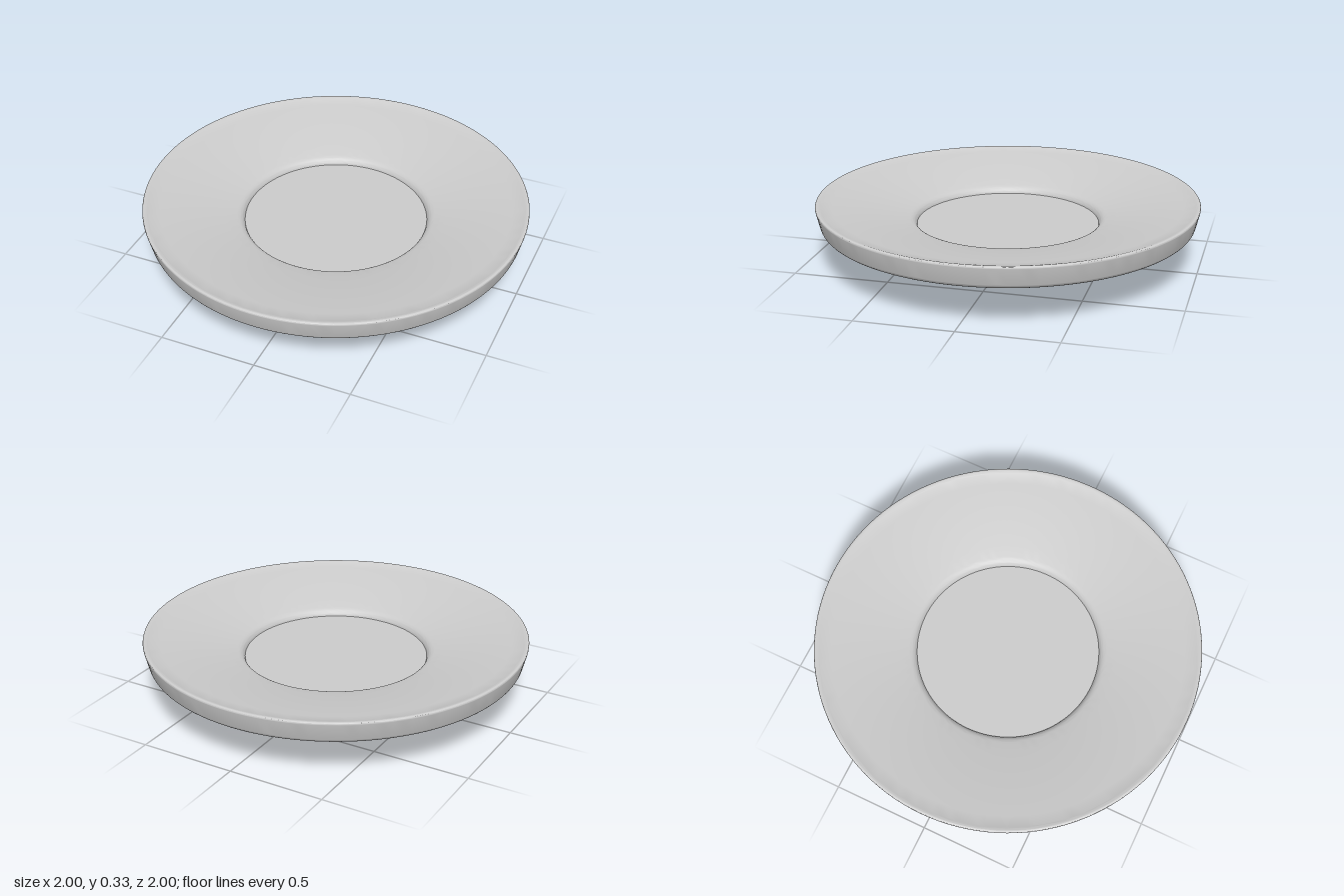
import * as THREE from 'three';
import { toCreasedNormals } from 'three/addons/utils/BufferGeometryUtils.js';

const SEGMENTS = 128;

// Samples a path without duplicate points and revolves it around y.
function revolve(name, path, material) {
  const points = path.getPoints(8).filter((p, i, a) => i === 0 || p.distanceTo(a[i - 1]) > 1e-5);
  const geometry = toCreasedNormals(new THREE.LatheGeometry(points, SEGMENTS), Math.PI / 6);
  const mesh = new THREE.Mesh(geometry, material);
  mesh.name = name;
  return mesh;
}

export function createModel() {
  const group = new THREE.Group();
  group.name = 'saucer';
  const material = new THREE.MeshStandardMaterial({ color: 0xcccccc, side: THREE.DoubleSide });

  // Hollow foot ring: recess ceiling, inner wall, rounded bottom, flared outer wall
  const foot = new THREE.Path();
  foot.moveTo(0, 0.12);
  foot.lineTo(0.355, 0.12);
  foot.lineTo(0.36, 0);
  foot.lineTo(0.415, 0);
  foot.quadraticCurveTo(0.435, 0, 0.439, 0.022);
  foot.lineTo(0.455, 0.112);
  group.add(revolve('footRing', foot, material));

  // Sloping underside, rounded shoulder and flared rim band
  const outside = new THREE.Path();
  outside.moveTo(0.455, 0.112);
  outside.lineTo(0.945, 0.207);
  outside.quadraticCurveTo(0.974, 0.213, 0.979, 0.237);
  outside.lineTo(0.998, 0.315);
  outside.quadraticCurveTo(1.002, 0.33, 0.988, 0.33);
  group.add(revolve('undersideAndRim', outside, material));

  // Gently domed upper face dropping over a soft lip to the well wall
  const upper = new THREE.Path();
  upper.moveTo(0.988, 0.33);
  upper.quadraticCurveTo(0.978, 0.329, 0.97, 0.325);
  upper.quadraticCurveTo(0.74, 0.293, 0.515, 0.238);
  upper.quadraticCurveTo(0.482, 0.23, 0.476, 0.2);
  group.add(revolve('upperFace', upper, material));

  // Flat well floor
  const floor = new THREE.Path();
  floor.moveTo(0.476, 0.2);
  floor.lineTo(0, 0.2);
  group.add(revolve('wellFloor', floor, material));

  return group;
}
